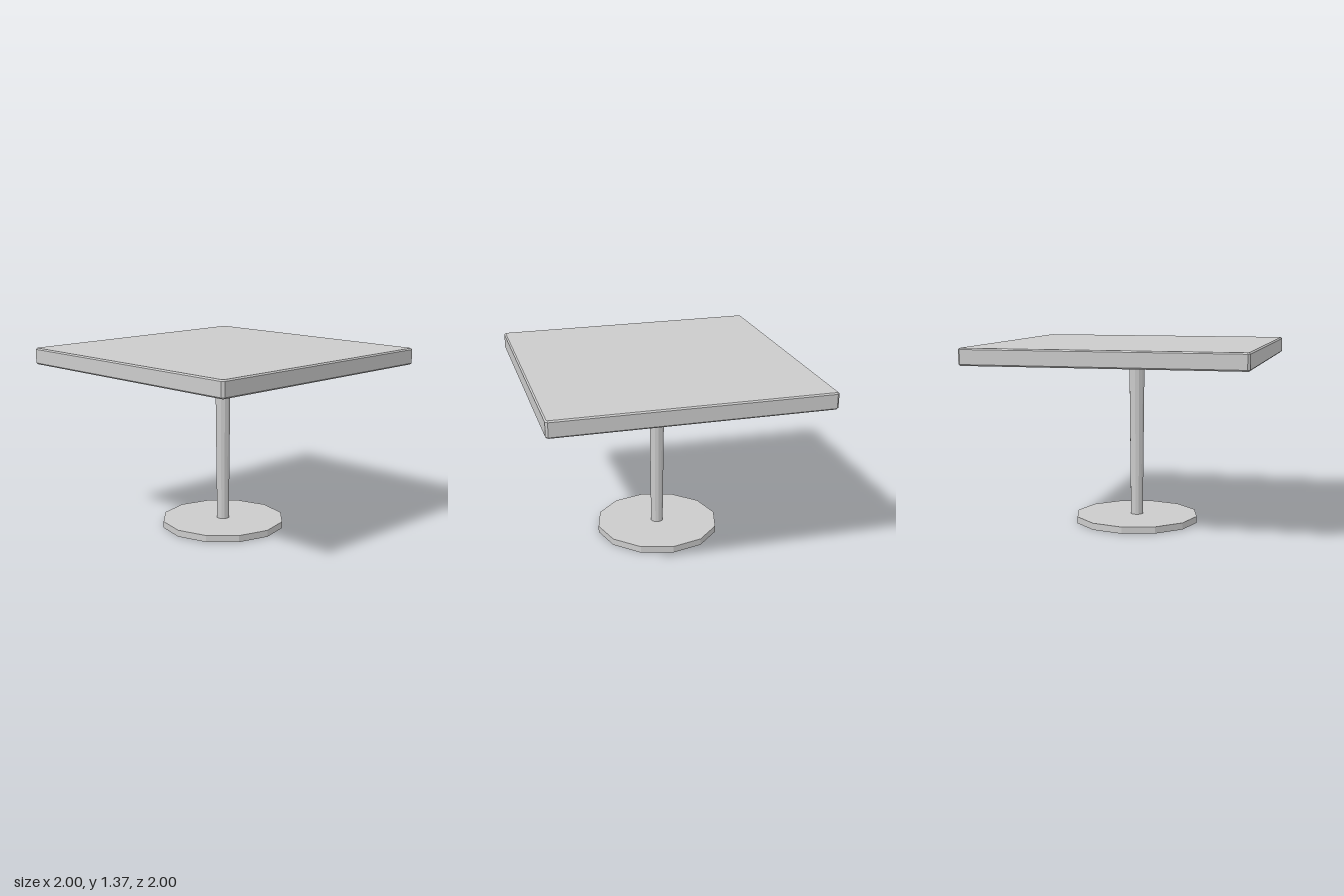
import * as THREE from 'three';

const material = new THREE.MeshStandardMaterial({ color: 0xcccccc, flatShading: true });

function addPart(group, name, geometry, x, y, z) {
  const mesh = new THREE.Mesh(geometry, material);
  mesh.name = name;
  mesh.position.set(x, y, z);
  group.add(mesh);
}

// Square slab with a narrow chamfer on every edge, standing on y = 0
function chamferedSlab(size, height, chamfer) {
  const h = size / 2 - chamfer; // outline before the bevel grows it
  const c = h - chamfer;
  const outline = new THREE.Shape([
    [h, -c], [h, c], [c, h], [-c, h], [-h, c], [-h, -c], [-c, -h], [c, -h],
  ].map(([x, y]) => new THREE.Vector2(x, y)));
  return new THREE.ExtrudeGeometry(outline, {
    depth: height - 2 * chamfer,
    bevelThickness: chamfer,
    bevelSize: chamfer,
    bevelSegments: 1,
  }).translate(0, 0, chamfer).rotateX(-Math.PI / 2);
}

export function createModel() {
  const table = new THREE.Group();
  table.name = 'pedestalTable';

  const sides = 12;
  const baseHeight = 0.05, topBottom = 1.243, topHeight = 0.122;
  const px = -0.013, pz = 0.003; // the pedestal sits slightly off centre

  // Flat foot plate
  addPart(table, 'base', new THREE.CylinderGeometry(0.468, 0.468, baseHeight, sides),
    px, baseHeight / 2, pz);

  // Column, widening towards the top
  const columnHeight = topBottom - baseHeight;
  addPart(table, 'column', new THREE.CylinderGeometry(0.059, 0.047, columnHeight, sides),
    px, baseHeight + columnHeight / 2, pz);

  // Table top
  addPart(table, 'tableTop', chamferedSlab(2, topHeight, 0.01), 0, topBottom, 0);

  return table;
}
